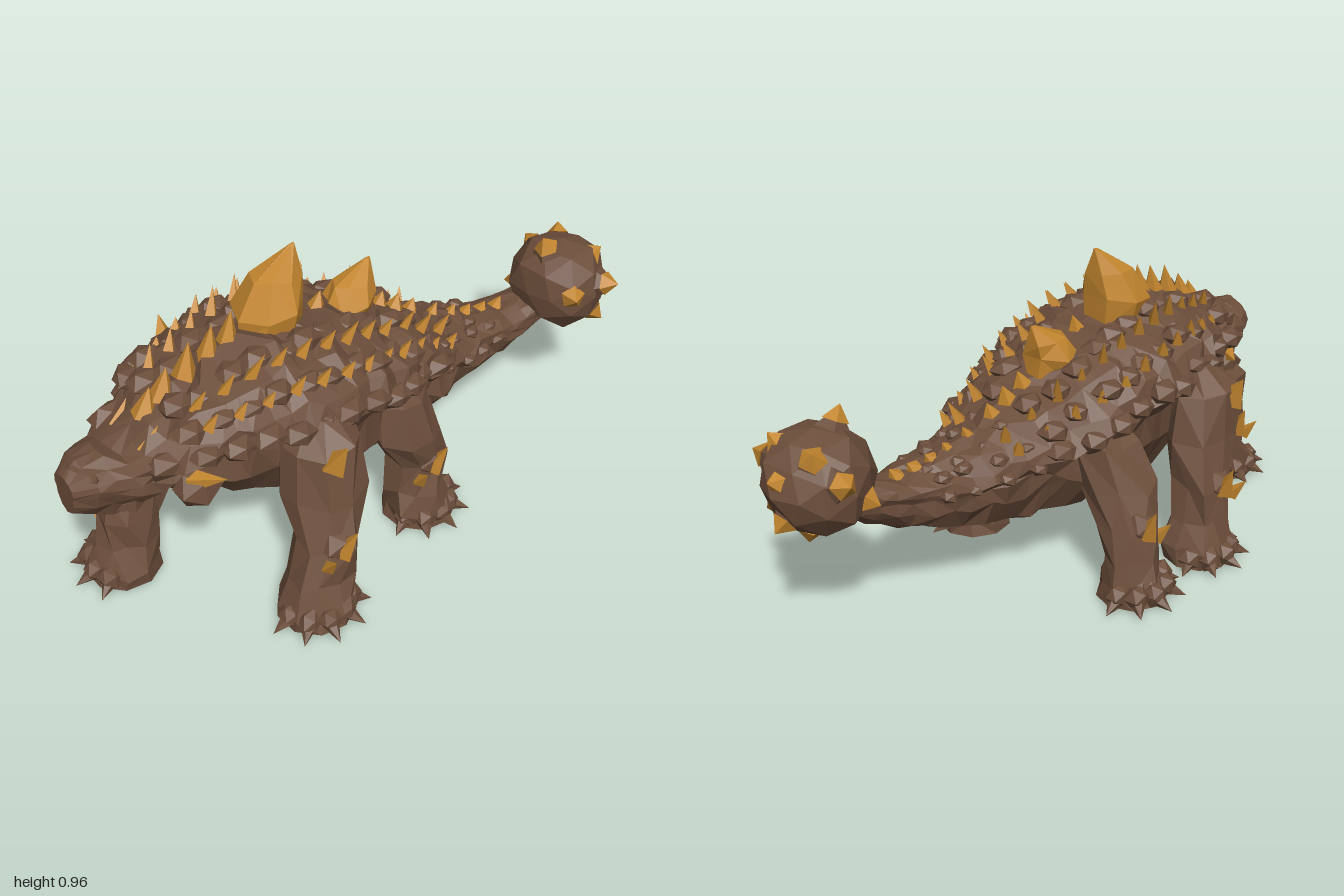
import * as THREE from 'three';
import { mergeGeometries } from 'three/addons/utils/BufferGeometryUtils.js';

const V = (x, y, z) => new THREE.Vector3(x, y, z);
const hide = new THREE.MeshStandardMaterial({ color: 0x6c4e3b });
hide.name = 'brown hide';
const horn = new THREE.MeshStandardMaterial({ color: 0xc3862f });
horn.name = 'amber horn';

// Repeatable value from -1 to 1 for a position
function hash(p, k) {
  const r = (n) => Math.round(n * 1000);
  const s = Math.sin(r(p.x) * 12.9898 + r(p.y) * 78.233 + r(p.z) * 37.719 + k * 11.17) * 43758.5453;
  return (s - Math.floor(s)) * 2 - 1;
}
const rough = (p, a) => V(p.x + a * hash(p, 1), p.y + a * hash(p, 2), p.z + a * hash(p, 3));

// Separate faces so that every facet is flat
function facet(geo) {
  const g = geo.index ? geo.toNonIndexed() : geo;
  g.deleteAttribute('uv');
  g.deleteAttribute('normal');
  g.computeVertexNormals();
  return g;
}

// Skin a list of rings, with both ends closed
function loft(rings) {
  const n = rings[0].length, pos = [], idx = [];
  rings.forEach((r) => r.forEach((p) => pos.push(p.x, p.y, p.z)));
  for (let i = 0; i < rings.length - 1; i++) {
    for (let j = 0; j < n; j++) {
      const a = i * n + j, b = i * n + (j + 1) % n, c = a + n, d = b + n;
      if (hash(rings[i][j], 7) > 0) idx.push(a, b, c, b, d, c);
      else idx.push(a, b, d, a, d, c);
    }
  }
  [0, rings.length - 1].forEach((e, k) => {
    const m = rings[e].reduce((s, p) => s.add(p), V(0, 0, 0)).divideScalar(n);
    const q = pos.length / 3;
    pos.push(m.x, m.y, m.z);
    for (let j = 0; j < n; j++) {
      const a = e * n + j, b = e * n + (j + 1) % n;
      if (k) idx.push(q, a, b); else idx.push(q, b, a);
    }
  });
  const g = new THREE.BufferGeometry();
  g.setAttribute('position', new THREE.Float32BufferAttribute(pos, 3));
  g.setIndex(idx);
  return facet(g);
}

// Pointed cone from a base point to a tip
function spike(base, tip, r, sides = 5, flat = 1) {
  const d = tip.clone().sub(base), h = d.length();
  const g = new THREE.ConeGeometry(r, h, sides, 1).translate(0, h / 2, 0).scale(1, 1, flat);
  g.applyQuaternion(new THREE.Quaternion().setFromUnitVectors(V(0, 1, 0), d.normalize()));
  return facet(g.translate(base.x, base.y, base.z));
}

// Rugged lump
function rock(p, sx, sy, sz, a = 0.16, detail = 0) {
  const g = new THREE.IcosahedronGeometry(1, detail), at = g.attributes.position;
  for (let i = 0; i < at.count; i++) {
    const v = V(0, 0, 0).fromBufferAttribute(at, i);
    const w = v.clone().add(V(0, 0, 0)).multiplyScalar(1 + a * hash(v, p.x * 9 + p.z * 5));
    at.setXYZ(i, p.x + w.x * sx, p.y + w.y * sy, p.z + w.z * sz);
  }
  return facet(g);
}

// Body stations: x, top, bottom, half width, centre z
const stations = [
  [-1, 0.56, 0.43, 0.05, 0], [-0.965, 0.6, 0.4, 0.09, 0], [-0.88, 0.59, 0.39, 0.12, 0], [-0.82, 0.575, 0.4, 0.14, 0],
  [-0.74, 0.64, 0.39, 0.18, 0], [-0.65, 0.69, 0.36, 0.22, 0], [-0.5, 0.74, 0.28, 0.28, 0],
  [-0.35, 0.77, 0.22, 0.32, 0], [-0.2, 0.76, 0.185, 0.34, 0], [0, 0.69, 0.185, 0.31, -0.01],
  [0.15, 0.62, 0.2, 0.25, 0], [0.3, 0.53, 0.21, 0.19, 0.02], [0.45, 0.48, 0.235, 0.135, 0.05],
  [0.6, 0.455, 0.28, 0.1, 0.08], [0.7, 0.46, 0.33, 0.085, 0.1], [0.82, 0.53, 0.42, 0.07, 0.14],
];
// Half cross-section as [side, height], from spine to belly
const half = [[0, 1], [0.3, 0.95], [0.62, 0.82], [0.9, 0.6], [1, 0.3], [0.86, 0.12], [0.84, -0.3], [0.52, -0.8], [0, -1]];
const section = [...half, ...half.slice(1, -1).reverse().map(([z, y]) => [-z, y])];

function surface(x, [s, h]) {
  let i = 0;
  while (i < stations.length - 2 && x > stations[i + 1][0]) i++;
  const a = stations[i], b = stations[i + 1];
  const t = (x - a[0]) / (b[0] - a[0]);
  const [, top, bot, w, zc] = a.map((v, k) => v + (b[k] - v) * t);
  return V(x, (top + bot) / 2 + h * (top - bot) / 2, zc + s * w);
}

export function createModel() {
  const model = new THREE.Group();
  const add = (name, parts, mat) => {
    const m = new THREE.Mesh(mergeGeometries(parts), mat);
    m.name = name;
    model.add(m);
  };

  // Head, trunk and tail in one skin
  const rings = [];
  for (let i = 0; i <= 34; i++) {
    const x = -1 + i * 1.82 / 34;
    const a = i === 0 ? 0 : x < -0.8 || x > 0.4 ? 0.01 : 0.018;
    rings.push(section.map((s) => rough(surface(x, s), a)));
  }
  add('body', [loft(rings)], hide);

  // Armour scutes over the back and along the flank ridge
  const scutes = [], rowSpikes = [];
  for (let x = -0.66; x < 0.6; x += 0.085) {
    const k = x > 0.25 ? 0.55 : 1;
    [[0.35, 0.93], [0.75, 0.72], [0.98, 0.38]].forEach(([s, h], row) => [1, -1].forEach((m) => {
      const p = rough(surface(x, [m * s * 0.95, h * 0.95]), 0.015);
      scutes.push(rock(p, 0.058 * k, 0.036 * k, 0.05 * k));
      if (row < 2 && x < 0.32) {
        const b = surface(x + 0.03, [m * (row ? 0.78 : 0.5), row ? 0.7 : 0.86]);
        const l = (row ? 0.045 : 0.07) * (1 + 0.3 * hash(p, 5));
        rowSpikes.push(spike(b, b.clone().add(V(l * 0.4, l, m * l * 0.35)), 0.022, 4));
      }
    }));
  }
  add('backScutes', scutes, hide);
  add('backSpikes', rowSpikes, horn);

  // Two great dorsal plates, leaning to the tail
  const plate = (x, y, len, tall, w) => loft([[0.5, 0, 0.5, 0.75], [0.52, 0.3, 0.5, 1], [0.66, 0.68, 0.35, 0.62], [0.95, 1, 0.04, 0.04]]
    .map(([cx, h, l, d], k) => Array.from({ length: 7 }, (_, j) => {
      const t = -(j + 0.5) / 7 * Math.PI * 2;
      return rough(V(x + len * (cx + l * Math.cos(t)), y + tall * h + (k === 1 ? len * 0.08 * Math.cos(t) : 0),
        -0.02 + w * d * Math.sin(t)), k === 3 ? 0.002 : 0.007);
    })));
  add('dorsalPlates', [plate(-0.38, 0.72, 0.22, 0.245, 0.115), plate(-0.07, 0.63, 0.2, 0.165, 0.085)], horn);

  // Small spikes along the spine
  const spine = [[-0.7, 0.72], [-0.64, 0.76], [-0.56, 0.81], [-0.48, 0.83], [-0.41, 0.85], [-0.08, 0.77], [0.17, 0.66],
    [0.23, 0.63], [0.29, 0.59], [0.38, 0.54], [0.45, 0.51], [0.51, 0.49], [0.57, 0.48], [0.63, 0.48]];
  add('spineSpikes', spine.map(([x, y]) => {
    const b = surface(x - 0.025, [0, 0.88]);
    return spike(b, V(x, y, b.z), x > 0.35 ? 0.028 : 0.042, 5);
  }), horn);

  // Head: snout, brows, cheeks and lower jaw
  const face = [rock(V(-0.94, 0.53, 0), 0.06, 0.065, 0.09), rock(V(-0.84, 0.425, 0), 0.11, 0.035, 0.11, 0.1)];
  const brows = [];
  [1, -1].forEach((m) => {
    face.push(rock(V(-0.74, 0.56, m * 0.14), 0.09, 0.045, 0.05), rock(V(-0.68, 0.46, m * 0.17), 0.08, 0.07, 0.06));
    brows.push(spike(V(-0.72, 0.55, m * 0.15), V(-0.63, 0.57, m * 0.225), 0.034, 4),
      spike(V(-0.7, 0.49, m * 0.17), V(-0.63, 0.51, m * 0.255), 0.035, 4),
      spike(V(-0.78, 0.58, m * 0.07), V(-0.73, 0.65, m * 0.08), 0.025, 4));
  });
  add('headLumps', face, hide);
  add('browHorns', brows, horn);

  // Tail club with studs
  const c = V(0.83, 0.505, 0.155);
  add('tailClub', [rock(c, 0.158, 0.158, 0.165, 0.08, 1)], hide);
  const studs = [[-0.1, 0.195, 0], [0.16, -0.11, 0], [0.03, -0.2, 0.02], [0.06, 0.05, 0.205], [0.05, 0.06, -0.205],
    [0.17, 0.05, 0], [0.08, 0.14, 0.1], [0.09, 0.14, -0.1], [-0.1, 0.03, 0.17], [-0.08, -0.06, -0.17], [0.07, -0.12, 0.15]];
  const clubHide = [], clubTips = [];
  studs.forEach((s) => {
    const d = V(...s), at = (f) => c.clone().addScaledVector(d, f);
    clubHide.push(spike(at(0.5), at(0.97), 0.085, 5));
    clubTips.push(spike(at(0.78), at(1), 0.042, 5));
  });
  add('clubStuds', clubHide, hide);
  add('clubTips', clubTips, horn);

  // Legs: rings of [x, y, z, radius] from hip to sole, then the toe heading in degrees (0 = +x, 90 = +z)
  const legs = [
    ['leftFrontLeg', [[-0.31, 0.6, 0.27, 0.06], [-0.33, 0.53, 0.29, 0.12], [-0.35, 0.38, 0.32, 0.13], [-0.39, 0.25, 0.38, 0.1],
      [-0.43, 0.13, 0.4, 0.095], [-0.45, 0.05, 0.41, 0.115], [-0.45, 0.004, 0.41, 0.12]], 104],
    ['leftRearLeg', [[0.03, 0.54, 0.18, 0.06], [0.03, 0.47, 0.21, 0.115], [0.04, 0.34, 0.25, 0.125], [0.08, 0.23, 0.27, 0.09],
      [0.06, 0.13, 0.28, 0.095], [0.08, 0.05, 0.285, 0.115], [0.08, 0.004, 0.285, 0.12]], 84],
    ['rightMiddleLeg', [[-0.36, 0.6, -0.26, 0.06], [-0.36, 0.52, -0.3, 0.12], [-0.33, 0.38, -0.33, 0.12], [-0.28, 0.25, -0.38, 0.1],
      [-0.24, 0.13, -0.4, 0.09], [-0.23, 0.05, -0.41, 0.105], [-0.23, 0.004, -0.41, 0.11]], 268],
    ['rightRearLeg', [[0.02, 0.54, -0.18, 0.06], [0.03, 0.46, -0.22, 0.11], [0.04, 0.34, -0.29, 0.12], [0.07, 0.23, -0.35, 0.095],
      [0.08, 0.13, -0.38, 0.09], [0.09, 0.05, -0.39, 0.105], [0.09, 0.004, -0.39, 0.11]], 276],
    ['rightFrontLeg', [[-0.62, 0.5, -0.13, 0.07], [-0.66, 0.42, -0.14, 0.11], [-0.71, 0.3, -0.13, 0.1], [-0.75, 0.21, -0.12, 0.095],
      [-0.77, 0.13, -0.11, 0.095], [-0.79, 0.05, -0.11, 0.115], [-0.79, 0.004, -0.11, 0.12]], 218],
  ];
  legs.forEach(([name, joints, heading]) => {
    const parts = [loft(joints.map(([x, y, z, r], k) => Array.from({ length: 9 }, (_, j) => {
      const t = j / 9 * Math.PI * 2;
      const p = V(x + r * Math.cos(t), y, z + r * Math.sin(t));
      return k === 6 ? p : rough(p, 0.016);
    })))];
    const [fx, , fz] = joints[6];
    // Five splayed toes
    for (let i = -2; i <= 2; i++) {
      const t = (heading + i * 36) * Math.PI / 180, dx = Math.cos(t), dz = Math.sin(t);
      parts.push(spike(V(fx + dx * 0.05, 0.05, fz + dz * 0.05), V(fx + dx * 0.17, 0.012, fz + dz * 0.17), 0.05, 5),
        rock(V(fx + dx * 0.1, 0.045, fz + dz * 0.1), 0.038, 0.042, 0.038));
    }
    // Knee and shoulder lumps on the outer side, with horn points
    const s = Math.sign(joints[2][2]), tips = [];
    const [kx, ky, kz, kr] = joints[3], [hx, hy, hz, hr] = joints[1];
    parts.push(rock(V(kx, ky, kz + s * kr * 0.6), 0.06, 0.06, 0.05));
    tips.push(spike(V(kx, ky - 0.02, kz + s * kr * 0.85), V(kx + 0.02, ky + 0.08, kz + s * (kr + 0.03)), 0.035, 4),
      spike(V(kx - 0.05, ky - 0.05, kz + s * kr * 0.8), V(kx - 0.06, ky + 0.01, kz + s * (kr + 0.03)), 0.025, 4));
    if (hr > 0.115) {
      tips.push(spike(V(hx - 0.03, hy - 0.03, hz + s * hr * 0.85), V(hx - 0.02, hy + 0.06, hz + s * (hr + 0.03)), 0.045, 4));
    }
    add(name, parts, hide);
    add(name + 'Horns', tips, horn);
  });

  return model;
}
